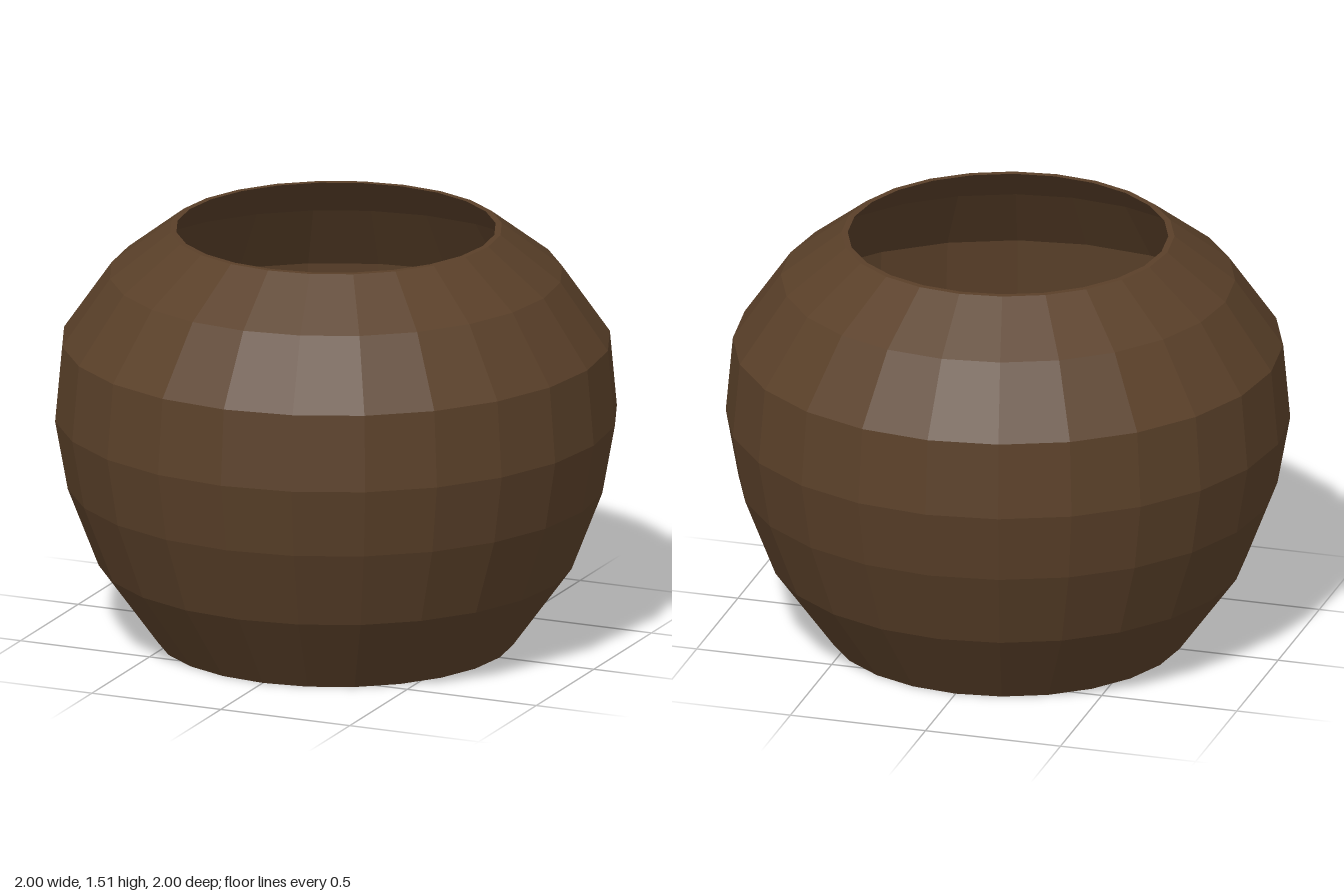
import * as THREE from 'three';

const SIDES = 24;

export function createModel() {
  const pot = new THREE.Group();
  pot.name = 'pot';
  const wood = new THREE.MeshStandardMaterial({ color: 0x5a4029 });
  wood.flatShading = true;

  // Turns a profile of [radius, height] points into a faceted part
  const turn = (name, profile) => {
    const points = profile.map(([r, y]) => new THREE.Vector2(r, y));
    const mesh = new THREE.Mesh(new THREE.LatheGeometry(points, SIDES), wood);
    mesh.name = name;
    pot.add(mesh);
  };

  const outer = [
    [0.635, 0], [0.845, 0.29], [0.955, 0.575], [1, 0.825],
    [0.975, 1.1], [0.805, 1.345], [0.59, 1.51],
  ];
  // Thin wall: the inner profile follows the outer one, running downwards
  const inner = outer.map(([r, y]) => [r - 0.022, y]).reverse();
  inner[inner.length - 1] = [0.635, 0.03];

  turn('base', [[0, 0], outer[0]]);
  turn('outerWall', outer);
  turn('rim', [outer[outer.length - 1], inner[0]]);
  turn('innerWall', inner);
  turn('floor', [inner[inner.length - 1], [0, 0.03]]);

  return pot;
}
